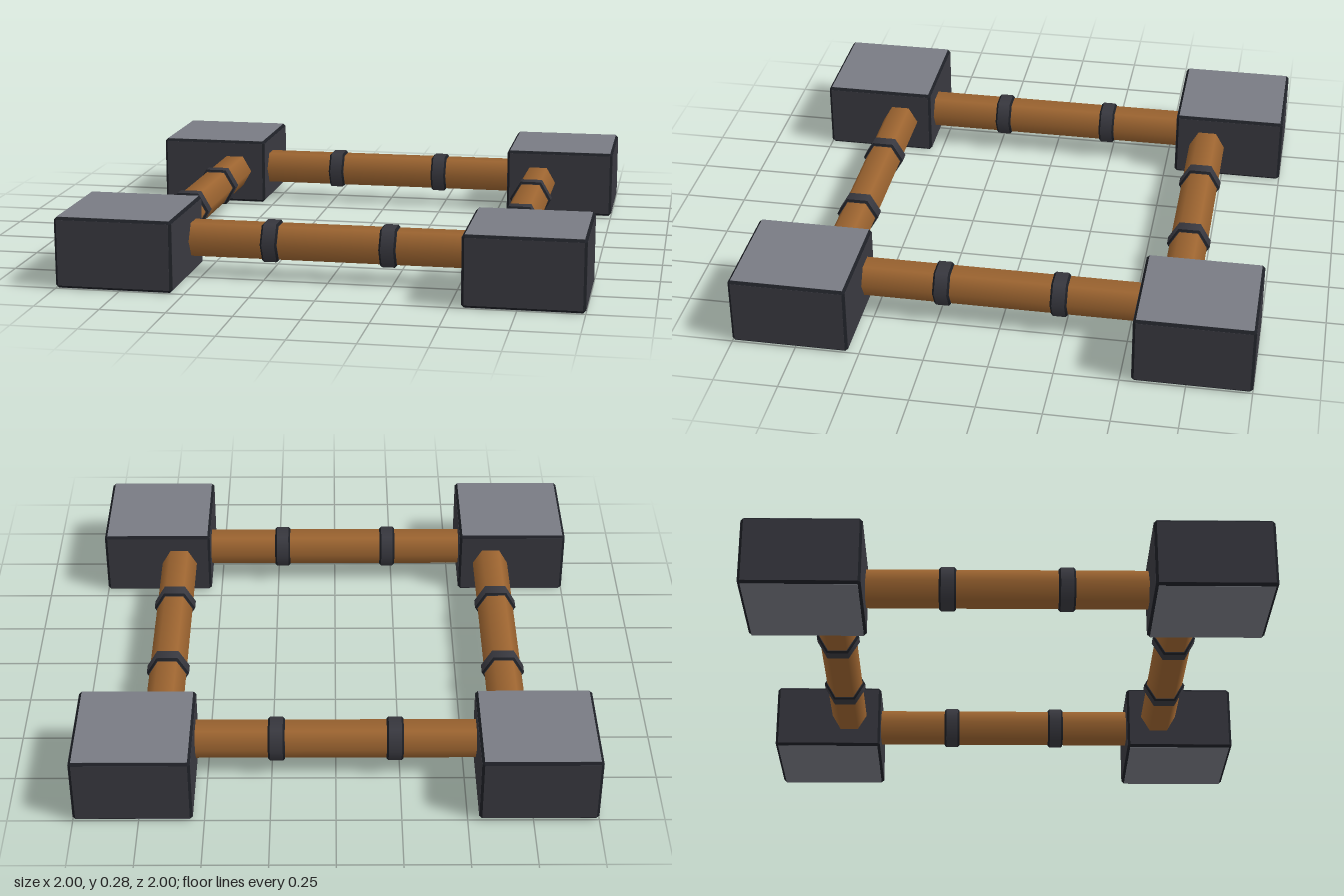
import * as THREE from 'three';
import { ConvexGeometry } from 'three/addons/geometries/ConvexGeometry.js';

const mat = (name, color) => {
  const m = new THREE.MeshStandardMaterial({ color });
  m.name = name;
  return m;
};

export function createModel() {
  const wood = mat('wood', 0x9c6430);
  const iron = mat('dark iron', 0x38383f);
  const trim = mat('black trim', 0x1d1f25);
  const stone = mat('grey cap', 0x787b83);

  const W = 0.455, H = 0.275, bevel = 0.01; // corner block
  const rodY = 0.14, rodOffset = 0.68, rodR = 0.075;
  const model = new THREE.Group();
  model.name = 'squareFrame';

  const add = (parent, name, geometry, material) => {
    const mesh = new THREE.Mesh(geometry, material);
    mesh.name = name;
    parent.add(mesh);
    return mesh;
  };

  // Chamfered block: each corner contributes one point per adjoining face
  const points = [];
  for (const sx of [-1, 1]) for (const sy of [-1, 1]) for (const sz of [-1, 1]) {
    for (let axis = 0; axis < 3; axis++) {
      const half = [W / 2, H / 2, W / 2].map((h, i) => (i === axis ? h : h - bevel));
      points.push(new THREE.Vector3(sx * half[0], sy * half[1], sz * half[2]));
    }
  }
  const blockGeo = new ConvexGeometry(points);
  const capGeo = new THREE.BoxGeometry(W - 2 * bevel, 0.004, W - 2 * bevel);
  const sideGeo = new THREE.BoxGeometry(W - 2 * bevel, H - 2 * bevel, 0.004);

  // Corner blocks with grey top and bottom and dark sides
  for (const sx of [-1, 1]) for (const sz of [-1, 1]) {
    const block = new THREE.Group();
    block.name = 'cornerBlock';
    block.position.set(sx * (1 - W / 2), H / 2, sz * (1 - W / 2));
    add(block, 'blockEdges', blockGeo, trim);
    for (const s of [-1, 1]) add(block, 'blockCap', capGeo, stone).position.y = s * (H / 2 - 0.001);
    for (let i = 0; i < 4; i++) {
      const a = i * Math.PI / 2;
      const side = add(block, 'blockSide', sideGeo, iron);
      side.rotation.y = a;
      side.position.set(Math.sin(a) * (W / 2 - 0.001), 0, Math.cos(a) * (W / 2 - 0.001));
    }
    model.add(block);
  }

  // Six-sided rods lie along x, flat side up
  const hex = (r1, r2, length, open = false) =>
    new THREE.CylinderGeometry(r1, r2, length, 6, 1, open).rotateZ(Math.PI / 2);
  const rodGeo = hex(rodR, rodR, 1.2);
  const bandR = 0.086, bandW = 0.066, chamfer = 0.008;
  const bandGeo = hex(bandR, bandR, bandW - 2 * chamfer, true);
  const leftRim = hex(bandR - chamfer, bandR, chamfer);
  const rightRim = hex(bandR, bandR - chamfer, chamfer);

  for (let i = 0; i < 4; i++) {
    const a = i * Math.PI / 2;
    const side = new THREE.Group();
    side.name = 'frameSide';
    side.rotation.y = a;
    side.position.set(Math.sin(a) * rodOffset, rodY, Math.cos(a) * rodOffset);
    add(side, 'rod', rodGeo, wood);
    // Two bands around each rod
    for (const x of [-0.23, 0.23]) {
      const band = new THREE.Group();
      band.name = 'band';
      band.position.x = x;
      add(band, 'bandBody', bandGeo, iron);
      add(band, 'bandRim', leftRim, [trim, iron, iron]).position.x = -(bandW - chamfer) / 2;
      add(band, 'bandRim', rightRim, [trim, iron, iron]).position.x = (bandW - chamfer) / 2;
      side.add(band);
    }
    model.add(side);
  }
  return model;
}
